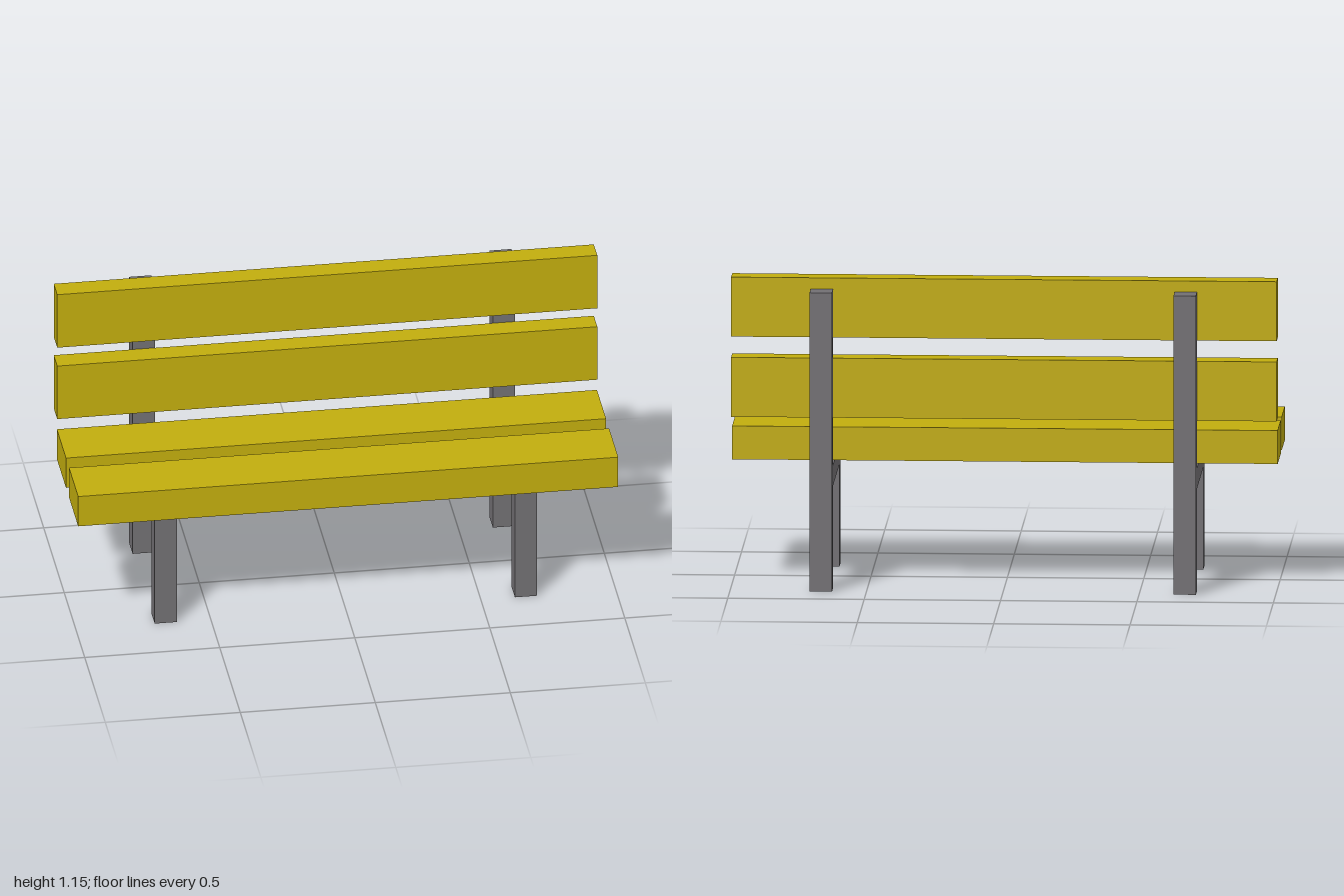
import * as THREE from 'three';

const wood = new THREE.MeshStandardMaterial({ color: 0xc2ad0e });
const metal = new THREE.MeshStandardMaterial({ color: 0x727073 });

// Box given by its y and z ranges, centred on x
function bar(name, material, x, width, [y0, y1], [z0, z1]) {
  const mesh = new THREE.Mesh(new THREE.BoxGeometry(width, y1 - y0, z1 - z0), material);
  mesh.position.set(x, (y0 + y1) / 2, (z0 + z1) / 2);
  mesh.name = name;
  return mesh;
}

// Front leg and seat support in one L-shaped piece, profile drawn as (z, y)
function legAndSupport(name, x, width) {
  const profile = new THREE.Shape([
    [0.283, 0], [0.283, 0.455], [-0.255, 0.455],
    [-0.255, 0.38], [0.206, 0.38], [0.206, 0],
  ].map(([z, y]) => new THREE.Vector2(z, y)));
  const geometry = new THREE.ExtrudeGeometry(profile, { depth: width, bevelEnabled: false });
  geometry.translate(0, 0, -width / 2).rotateY(-Math.PI / 2);
  const mesh = new THREE.Mesh(geometry, metal);
  mesh.position.x = x;
  mesh.name = name;
  return mesh;
}

export function createModel() {
  const bench = new THREE.Group();
  bench.name = 'bench';

  // Side frames
  for (const [side, x] of [['left', 0.667], ['right', -0.667]]) {
    const frame = new THREE.Group();
    frame.name = side + 'Frame';
    frame.add(
      legAndSupport(side + 'FrontLegAndSupport', x, 0.082),
      bar(side + 'BackPost', metal, x, 0.082, [0, 1.11], [-0.34, -0.255]),
    );
    bench.add(frame);
  }

  // Planks
  bench.add(
    bar('frontSeatPlank', wood, 0, 2, [0.461, 0.585], [0.118, 0.34]),
    bar('rearSeatPlank', wood, 0, 2, [0.461, 0.585], [-0.179, 0.043]),
    bar('lowerBackPlank', wood, 0, 2, [0.632, 0.853], [-0.255, -0.171]),
    bar('upperBackPlank', wood, 0, 2, [0.93, 1.151], [-0.255, -0.171]),
  );
  return bench;
}
